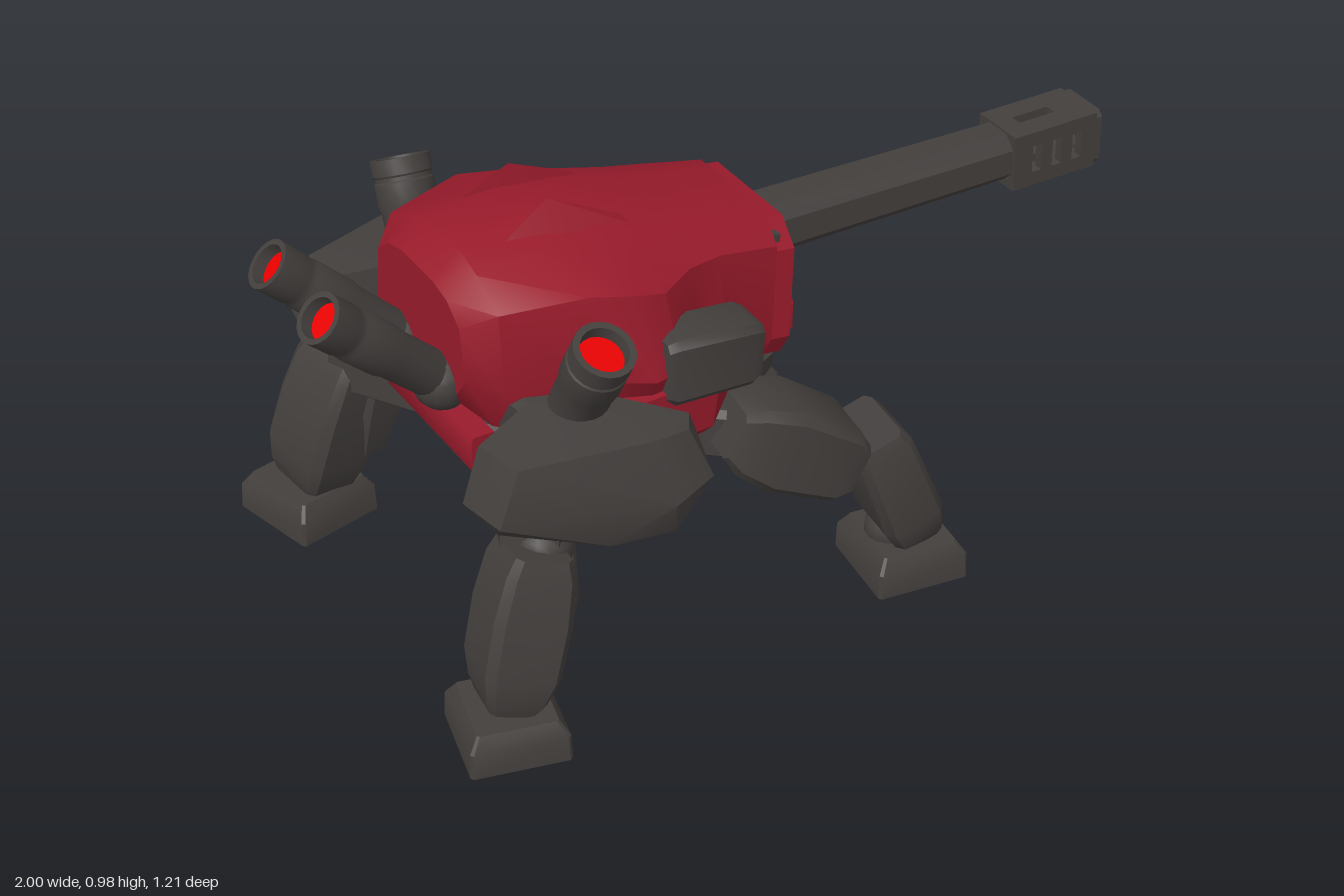
import * as THREE from 'three';
import { toCreasedNormals } from 'three/addons/utils/BufferGeometryUtils.js';
import { ConvexGeometry } from 'three/addons/geometries/ConvexGeometry.js';

const V = (x, y, z) => new THREE.Vector3(x, y, z);
const mat = (name, color) => {
  const m = new THREE.MeshStandardMaterial({ color });
  m.name = name;
  return m;
};

// Skin a row of rings (each counter-clockwise about the row's direction) and cap both ends
function loft(rings) {
  const n = rings[0].length, pos = [], idx = [];
  rings.forEach(r => r.forEach(p => pos.push(p.x, p.y, p.z)));
  for (let r = 0; r < rings.length - 1; r++) {
    for (let i = 0; i < n; i++) {
      const a = r * n + i, b = r * n + (i + 1) % n;
      idx.push(a, b, b + n, a, b + n, a + n);
    }
  }
  const last = (rings.length - 1) * n;
  for (let i = 1; i < n - 1; i++) idx.push(0, i + 1, i, last, last + i, last + i + 1);
  const g = new THREE.BufferGeometry();
  g.setAttribute('position', new THREE.Float32BufferAttribute(pos, 3));
  g.setIndex(idx);
  return toCreasedNormals(g, 0.6);
}

// Chamfered beam from a to b; stations are [t, half size along guide, other half size]
function beam(a, b, stations, guide = V(0, 0, 1), chamfer = 0.22) {
  const d = b.clone().sub(a).normalize();
  const u = guide.clone().addScaledVector(d, -guide.dot(d)).normalize();
  const v = d.clone().cross(u), k = 1 - chamfer;
  const oct = [[1, -k], [1, k], [k, 1], [-k, 1], [-1, k], [-1, -k], [-k, -1], [k, -1]];
  return loft(stations.map(([t, hu, hv]) => {
    const c = a.clone().lerp(b, t);
    return oct.map(([p, q]) => c.clone().addScaledVector(u, p * hu).addScaledVector(v, q * hv));
  }));
}

// Symmetric hull along x; each section lists [x, [z, y]...] from top to bottom
function hullLoft(sections, shear = 0) {
  return loft(sections.map(([x, ...half]) => {
    const both = [...half, ...half.map(([z, y]) => [-z, y]).reverse()];
    return both.map(([z, y]) => V(x + (x > 0 ? shear * (y - 0.65) : 0), y, z));
  }));
}

const polygon = (C, pts) => new C(pts.map(([x, y]) => new THREE.Vector2(x, y)));
const chamferRect = (C, w, y0, y1, c) => polygon(C, [[-w, y0 + c], [-w + c, y0], [w - c, y0], [w, y0 + c],
  [w, y1 - c], [w - c, y1], [-w + c, y1], [-w, y1 - c]]);
const plate = (shape, depth) => new THREE.ExtrudeGeometry(shape, { depth, bevelEnabled: false });

export function createModel() {
  const red = mat('red armour', 0x991b2b);
  const dark = mat('dark metal', 0x433f3d);
  const glow = mat('glowing red', 0xff0000);
  const model = new THREE.Group();
  model.name = 'walkerTank';

  const add = (name, geo, m, parent = model) => {
    const mesh = new THREE.Mesh(geo, m);
    mesh.name = name;
    parent.add(mesh);
    return mesh;
  };
  const box = (name, m, w, h, d, x, y, z) => {
    const mesh = add(name, new THREE.BoxGeometry(w, h, d), m);
    mesh.position.set(x, y, z);
    return mesh;
  };

  // Open tube with a glowing disc sunk in its thick-rimmed mouth
  const tube = (name, a, b, r) => {
    const g = new THREE.Group(), L = a.distanceTo(b);
    const profile = [[0, 0], [r * 0.9, 0], [r * 0.92, L * 0.44], [r, L * 0.5], [r, L * 0.75], [r * 0.95, L * 0.77],
      [r * 0.95, L * 0.81], [r, L * 0.83], [r, L], [r * 0.78, L], [r * 0.72, L - 0.04]];
    const pts = profile.map(([x, y]) => new THREE.Vector2(x, y));
    add(name + 'Casing', toCreasedNormals(new THREE.LatheGeometry(pts, 20), 0.5), dark, g);
    const disc = add(name + 'Glow', new THREE.CircleGeometry(r * 0.75, 20), glow, g);
    disc.rotation.x = -Math.PI / 2;
    disc.position.y = L - 0.028;
    g.name = name;
    g.position.copy(a);
    g.quaternion.setFromUnitVectors(V(0, 1, 0), b.clone().sub(a).normalize());
    model.add(g);
  };

  // Armoured upper hull
  add('upperHull', hullLoft([
    [-0.69, [0.07, 0.865], [0.13, 0.85], [0.18, 0.81], [0.195, 0.69], [0.14, 0.62]],
    [-0.63, [0.07, 0.925], [0.15, 0.9], [0.235, 0.85], [0.25, 0.66], [0.19, 0.56]],
    [-0.45, [0.07, 0.94], [0.15, 0.912], [0.285, 0.862], [0.325, 0.68], [0.26, 0.50]],
    [-0.34, [0.07, 0.925], [0.15, 0.9], [0.295, 0.835], [0.36, 0.66], [0.27, 0.48]],
    [-0.27, [0.07, 0.91], [0.15, 0.89], [0.28, 0.81], [0.345, 0.66], [0.27, 0.48]],
    [-0.18, [0.07, 0.885], [0.14, 0.87], [0.225, 0.81], [0.26, 0.64], [0.23, 0.50]],
    [-0.09, [0.07, 0.86], [0.14, 0.85], [0.20, 0.80], [0.225, 0.58], [0.19, 0.51]],
    [0.04, [0.07, 0.825], [0.13, 0.82], [0.19, 0.77], [0.215, 0.56], [0.19, 0.51]],
  ], 0.13), red);

  // Front frame around the gun port, with a dark recess behind it
  const frame = polygon(THREE.Shape, [[-0.19, -0.14], [0.19, -0.14], [0.215, -0.09], [0.19, 0.11], [0.13, 0.16],
    [-0.13, 0.16], [-0.19, 0.11], [-0.215, -0.09]]);
  frame.holes.push(polygon(THREE.Path, [[-0.16, -0.128], [0.16, -0.128], [0.172, -0.09], [0.152, 0.1],
    [0.12, 0.135], [-0.12, 0.135], [-0.152, 0.1], [-0.172, -0.09]]));
  const frontFrame = add('frontFrame', plate(frame, 0.05).rotateY(Math.PI / 2), red);
  frontFrame.position.set(0.035, 0.65, 0);
  const recess = box('gunRecess', dark, 0.016, 0.272, 0.35, 0.048, 0.653, 0);
  frontFrame.rotation.z = recess.rotation.z = -0.13;
  add('frontLip', beam(V(0.07, 0.543, -0.14), V(0.07, 0.543, 0.14), [[0, 0.06, 0.035], [0.06, 0.07, 0.043],
    [0.94, 0.07, 0.043], [1, 0.06, 0.035]], V(1, 0, 0)), red);

  // Gun port plate, collar and bracket-shaped warning slits
  add('gunPlate', beam(V(0.02, 0.685, 0), V(0.085, 0.685, 0), [[0, 0.14, 0.097], [0.8, 0.137, 0.095], [1, 0.128, 0.085]]), dark);
  add('gunCollar', beam(V(0.08, 0.7, 0), V(0.11, 0.7, 0), [[0, 0.08, 0.08], [1, 0.072, 0.072]]), dark);
  for (const s of [-1, 1]) {
    box('warningSlit', glow, 0.008, 0.085, 0.014, 0.087, 0.69, s * 0.1);
    for (const y of [0.652, 0.728]) box('slitTip', glow, 0.008, 0.009, 0.012, 0.087, y, s * 0.089);
  }

  // Cannon barrel and slotted muzzle
  add('barrel', beam(V(0.05, 0.705, 0), V(0.79, 0.696, 0), [[0, 0.064, 0.066], [1, 0.062, 0.058]], V(0, 0, 1), 0.5), dark);
  const rect = (C, x0, x1, y0, y1) => polygon(C, [[x0, y0], [x1, y0], [x1, y1], [x0, y1]]);
  const wall = (name, half, holes, place) => {
    const s = rect(THREE.Shape, 0.76, 0.985, -half, half);
    holes.forEach(h => s.holes.push(rect(THREE.Path, ...h)));
    place(add(name, plate(s, 0.022), dark));
  };
  const sideSlots = [0.81, 0.865, 0.92].map(x => [x, x + 0.026, -0.033, 0.033]);
  for (const z of [-0.068, 0.046]) wall('muzzleSide', 0.068, sideSlots, m => m.position.set(0, 0.692, z));
  for (const y of [0.76, 0.646]) {
    wall('muzzleTopBottom', 0.047, [[0.81, 0.905, -0.014, 0.014]], m => {
      m.rotation.x = Math.PI / 2;
      m.position.y = y;
    });
  }
  const ring = chamferRect(THREE.Shape, 0.068, -0.068, 0.068, 0.014);
  ring.holes.push(chamferRect(THREE.Path, 0.038, -0.038, 0.038, 0.01));
  add('muzzleRing', plate(ring, 0.03).rotateY(Math.PI / 2), dark).position.set(0.97, 0.692, 0);

  // Chassis below the hull
  add('chassis', hullLoft([
    [-0.64, [0.14, 0.54], [0.18, 0.5], [0.17, 0.44], [0.12, 0.4]],
    [-0.55, [0.22, 0.55], [0.26, 0.48], [0.24, 0.35], [0.2, 0.31]],
    [-0.22, [0.22, 0.54], [0.26, 0.48], [0.25, 0.34], [0.21, 0.30]],
    [-0.08, [0.2, 0.53], [0.24, 0.49], [0.23, 0.39], [0.18, 0.35]],
    [0.06, [0.16, 0.52], [0.18, 0.5], [0.17, 0.46], [0.13, 0.43]],
  ]), dark);
  add('bellyPlate', beam(V(-0.52, 0.31, 0), V(-0.22, 0.3, 0), [[0, 0.12, 0.015], [1, 0.15, 0.015]]), dark);
  add('rearApron', beam(V(-0.65, 0.5, -0.19), V(-0.65, 0.5, 0.19), [[0, 0.03, 0.045], [1, 0.03, 0.045]], V(1, 0, 0)), red);

  // Everything that comes in mirrored pairs
  for (const s of [-1, 1]) {
    const P = (x, y, z) => V(x, y, z * s);
    const frontGuide = P(-0.13, 0, 1), backGuide = P(-0.24, 0, 1);
    const side = s > 0 ? 'left' : 'right';
    const ball = (name, r, p) => add(side + name, new THREE.SphereGeometry(r, 14, 10), dark).position.copy(p);
    const convex = (name, pts, m) =>
      add(side + name, toCreasedNormals(new ConvexGeometry(pts.map(p => P(...p))), 0.6), m);

    // Roof fin, side skirt and sensor box
    convex('RoofFin', [[-0.56, 0.91, 0.1], [-0.43, 0.984, 0.082], [-0.42, 0.9, 0.062], [-0.42, 0.88, 0.15],
      [-0.2, 0.87, 0.1], [-0.2, 0.86, 0.14]], red);
    convex('Skirt', [[-0.42, 0.62, 0.36], [-0.18, 0.62, 0.35], [-0.4, 0.5, 0.36], [-0.2, 0.5, 0.35],
      [-0.36, 0.46, 0.32], [-0.2, 0.46, 0.31], [-0.08, 0.52, 0.24], [-0.42, 0.62, 0.2], [-0.15, 0.62, 0.2],
      [-0.3, 0.46, 0.2]], red);
    add(side + 'SideBox', beam(P(-0.31, 0.665, 0.305), P(-0.085, 0.65, 0.31), [[0, 0.055, 0.068], [0.1, 0.063, 0.078],
      [0.9, 0.063, 0.073], [1, 0.054, 0.062]]), dark);

    // Shoulder pod with launcher
    convex('ShoulderPod', [[-0.75, 0.655, 0.36], [-0.72, 0.65, 0.47], [-0.45, 0.665, 0.54], [-0.36, 0.65, 0.52],
      [-0.33, 0.65, 0.47], [-0.45, 0.675, 0.37], [-0.62, 0.675, 0.31], [-0.79, 0.53, 0.36], [-0.77, 0.53, 0.48],
      [-0.43, 0.53, 0.59], [-0.32, 0.54, 0.55], [-0.31, 0.55, 0.48], [-0.43, 0.53, 0.36], [-0.62, 0.53, 0.3],
      [-0.74, 0.465, 0.41], [-0.55, 0.44, 0.53], [-0.42, 0.45, 0.565], [-0.35, 0.475, 0.5], [-0.55, 0.44, 0.36]], dark);
    add(side + 'ShoulderMount', beam(P(-0.52, 0.58, 0.2), P(-0.52, 0.58, 0.4), [[0, 0.1, 0.08], [1, 0.09, 0.08]], V(1, 0, 0)), dark);
    tube(side + 'Launcher', P(-0.52, 0.66, 0.345), P(-0.505, 0.845, 0.442), 0.066);

    // Rear exhaust
    tube(side + 'Exhaust', P(-0.68, 0.63, 0.085), P(-0.965, 0.895, 0.117), 0.056);
    ball('ExhaustSocket', 0.065, P(-0.69, 0.64, 0.09));

    // Front leg
    add(side + 'FrontHip', beam(P(-0.18, 0.43, 0.2), P(-0.06, 0.43, 0.3), [[0, 0.06, 0.07], [1, 0.06, 0.07]], V(0, 1, 0)), dark);
    add(side + 'FrontThigh', beam(P(-0.15, 0.47, 0.31), P(0.125, 0.32, 0.36), [[0, 0.08, 0.055], [0.12, 0.095, 0.08],
      [0.4, 0.1, 0.1], [0.88, 0.098, 0.085], [1, 0.088, 0.06]], frontGuide), dark);
    ball('FrontKnee', 0.055, P(0.14, 0.32, 0.365));
    add(side + 'FrontShin', beam(P(0.175, 0.375, 0.365), P(0.28, 0.085, 0.385), [[0, 0.088, 0.05], [0.1, 0.097, 0.065],
      [0.75, 0.102, 0.072], [0.92, 0.092, 0.06], [1, 0.075, 0.045]], frontGuide), dark);
    ball('FrontAnkle', 0.055, P(0.23, 0.1, 0.385));

    // Back leg
    add(side + 'BackThigh', beam(P(-0.5, 0.4, 0.2), P(-0.68, 0.43, 0.43), [[0, 0.07, 0.08], [0.8, 0.07, 0.08],
      [1, 0.05, 0.06]], V(0, 1, 0)), dark);
    ball('BackKnee', 0.065, P(-0.64, 0.4, 0.41));
    add(side + 'BackShin', beam(P(-0.665, 0.42, 0.425), P(-0.765, 0.085, 0.46), [[0, 0.08, 0.06], [0.12, 0.09, 0.075],
      [0.4, 0.095, 0.085], [0.75, 0.096, 0.082], [0.92, 0.085, 0.065], [1, 0.07, 0.05]], backGuide), dark);
    add(side + 'BackCalf', beam(P(-0.61, 0.4, 0.39), P(-0.65, 0.17, 0.42), [[0, 0.05, 0.04], [0.5, 0.06, 0.055],
      [1, 0.05, 0.035]], backGuide), dark);
    ball('BackAnkle', 0.055, P(-0.75, 0.1, 0.45));

    // Feet
    for (const [name, x, z, guide] of [['FrontFoot', 0.26, 0.392, frontGuide], ['BackFoot', -0.765, 0.468, backGuide]]) {
      add(side + name, beam(P(x, 0, z), P(x, 0.09, z), [[0, 0.114, 0.108], [0.65, 0.112, 0.106],
        [1, 0.092, 0.086]], guide, 0.06), dark);
    }

    // Front prong under the hull
    add(side + 'Prong', beam(P(-0.04, 0.44, 0.1), P(-0.08, 0.295, 0.1), [[0, 0.02, 0.04], [1, 0.014, 0.025]]), dark);
  }
  return model;
}
